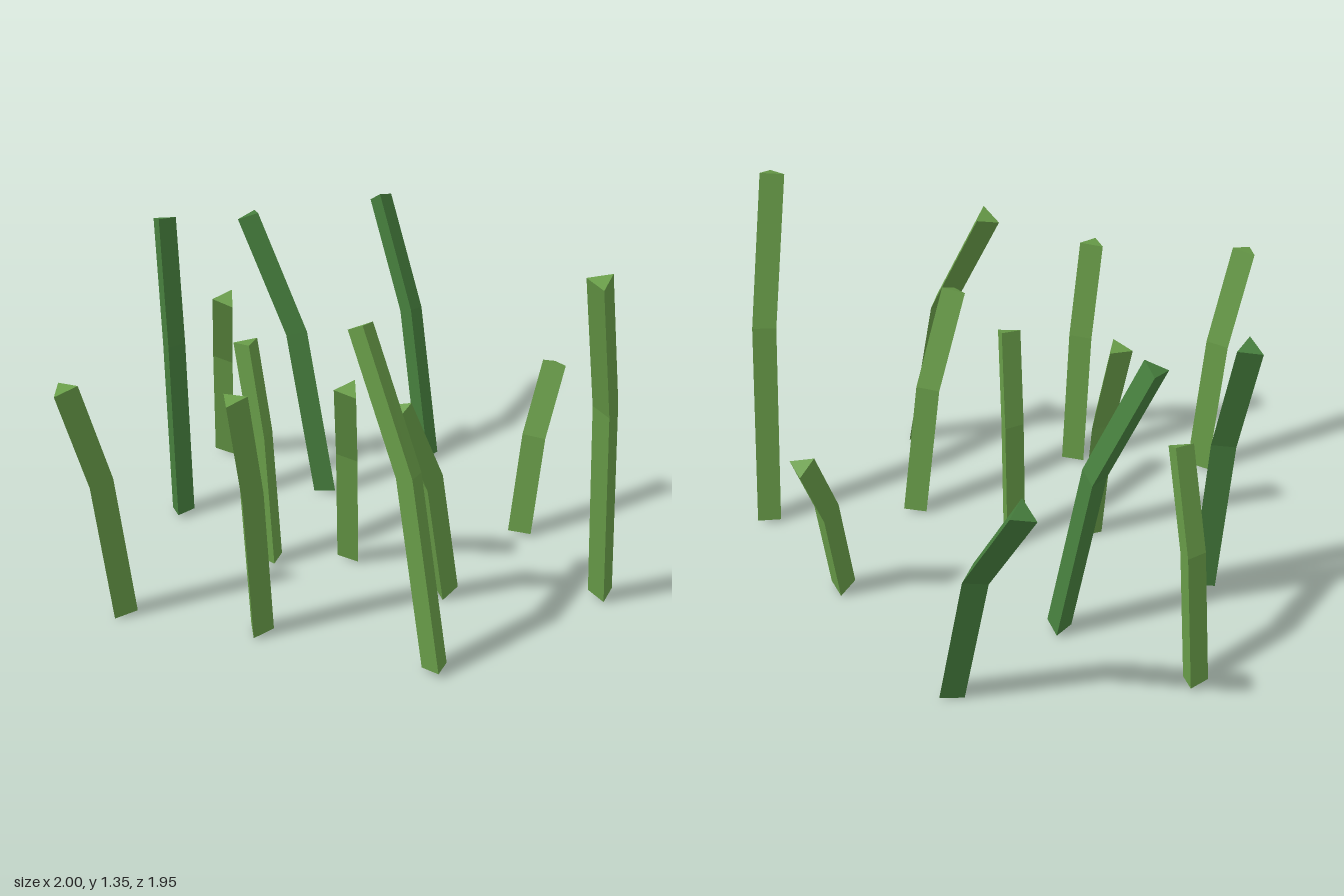
import * as THREE from 'three';

const RADIUS = 0.05;
const BASE_Y = 0.012;

// Blades: base x, base z, tip x, tip z, tip height, twist of the triangle in degrees
const LIGHT_BLADES = [
  [0.317, -0.945, 0.13, -0.737, 0.80, 103],
  [-0.80, -0.341, -0.952, -0.395, 0.925, 51],
  [-0.19, -0.203, -0.19, -0.307, 0.86, 5],
  [-0.566, 0.101, -0.658, 0.095, 0.94, 40],
  [0.023, 0.0, -0.143, 0.135, 0.80, 106],
  [-0.335, 0.702, -0.29, 0.322, 1.145, 9],
  [0.061, 0.42, -0.215, 0.42, 0.845, 30],
  [0.587, 0.36, 0.763, 0.355, 0.655, 89],
  [0.423, 0.848, 0.155, 0.937, 1.335, 15],
];
const DARK_BLADES = [
  [-0.17, -0.707, -0.043, -0.88, 1.14, 29],
  [0.337, -0.41, 0.223, -0.687, 1.13, 94],
  [0.82, -0.292, 0.948, -0.667, 1.01, 18],
];

// Three-sided stalk that bends at 60% of its height, rings square to its path
function bladeGeometry([bx, bz, tx, tz, height, twist]) {
  const base = new THREE.Vector3(bx, BASE_Y, bz);
  const tip = new THREE.Vector3(tx, height, tz);
  const bend = new THREE.Vector3().lerpVectors(base, tip, 0.37);
  bend.y = height * 0.6;

  const lower = bend.clone().sub(base).normalize();
  const upper = tip.clone().sub(bend).normalize();
  const middle = lower.clone().add(upper).normalize();
  const up = new THREE.Vector3(0, 1, 0);
  const rings = [[base, lower], [bend, middle], [tip, upper]].map(([center, dir]) => ({
    center,
    turn: new THREE.Quaternion().setFromUnitVectors(up, dir),
  }));

  const geometry = new THREE.CylinderGeometry(RADIUS, RADIUS, 1, 3, 2).toNonIndexed();
  geometry.rotateY(THREE.MathUtils.degToRad(90 - twist));
  const pos = geometry.attributes.position;
  const v = new THREE.Vector3();
  for (let i = 0; i < pos.count; i++) {
    v.fromBufferAttribute(pos, i);
    const ring = rings[Math.round((v.y + 0.5) * 2)];
    v.y = 0;
    v.applyQuaternion(ring.turn).add(ring.center);
    pos.setXYZ(i, v.x, v.y, v.z);
  }
  geometry.computeVertexNormals();
  return geometry;
}

export function createModel() {
  const model = new THREE.Group();
  model.name = 'grassPatch';

  const lightGreen = new THREE.MeshStandardMaterial({ color: 0x689c48, flatShading: true });
  lightGreen.name = 'lightGreen';
  const darkGreen = new THREE.MeshStandardMaterial({ color: 0x467e3d, flatShading: true });
  darkGreen.name = 'darkGreen';

  const addBlades = (blades, material, name) => {
    blades.forEach((blade, i) => {
      const mesh = new THREE.Mesh(bladeGeometry(blade), material);
      mesh.name = `${name}${i + 1}`;
      model.add(mesh);
    });
  };
  addBlades(LIGHT_BLADES, lightGreen, 'lightBlade');
  addBlades(DARK_BLADES, darkGreen, 'darkBlade');
  return model;
}
